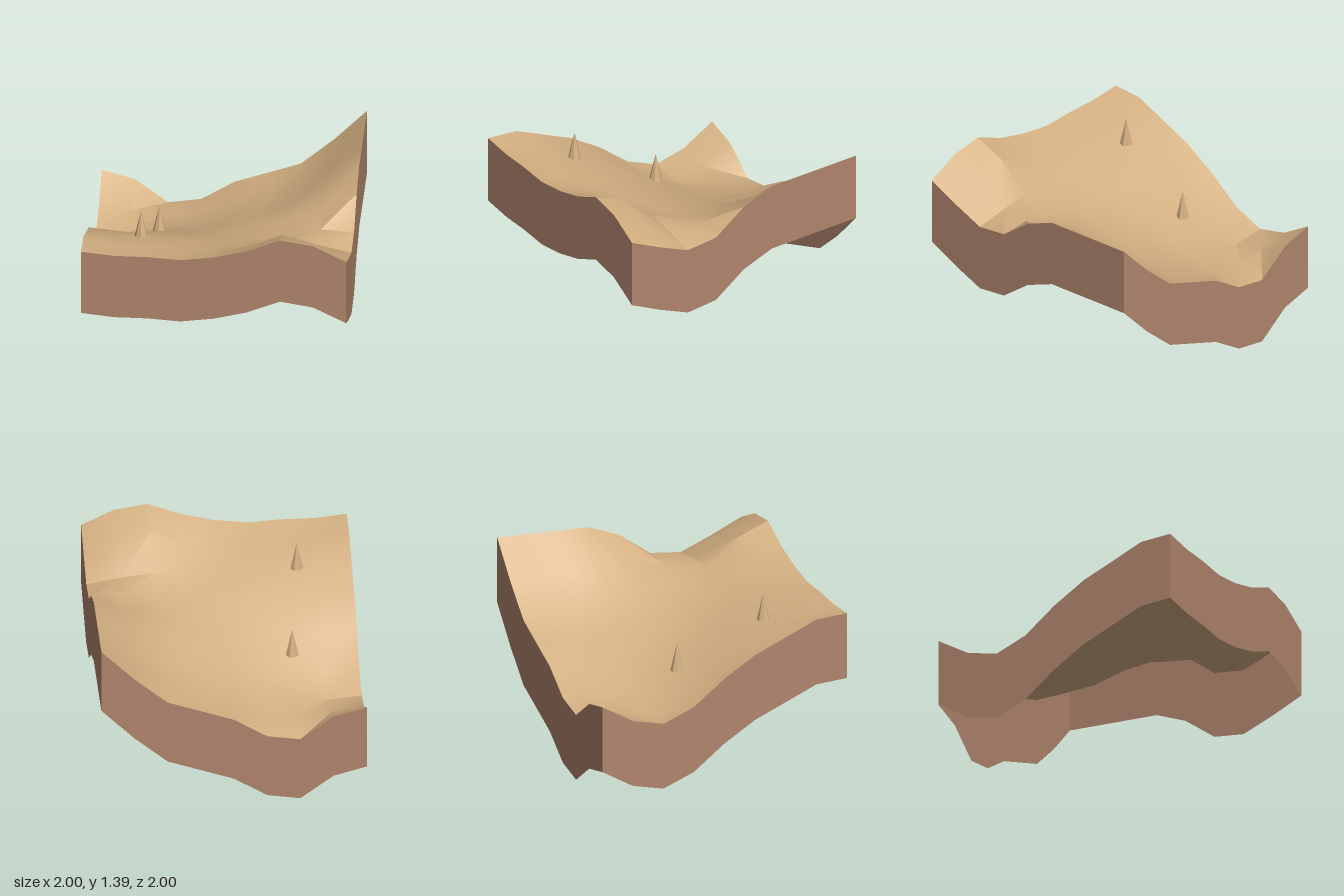
import * as THREE from 'three';
import { toCreasedNormals } from 'three/addons/utils/BufferGeometryUtils.js';

const N = 8;          // cells per side
const STEP = 2 / N;
const DEPTH = 0.53;   // height of the cut earth wall

// Ground heights: rows run from the back (z = -1) to the front, columns from x = -1 to 1
const HEIGHTS = [
  [0.79, 0.72, 0.53, 0.57, 0.73, 0.82, 0.91, 1.13, 1.39],
  [0.635, 0.595, 0.585, 0.6, 0.7, 0.8, 0.91, 1.12, 1.375],
  [0.57, 0.545, 0.6, 0.645, 0.74, 0.82, 0.92, 1.12, 1.36],
  [0.665, 0.64, 0.7, 0.715, 0.8, 0.88, 0.98, 1.15, 1.345],
  [0.855, 0.83, 0.85, 0.84, 0.87, 0.93, 1.0, 1.1, 1.24],
  [1.005, 0.97, 0.97, 0.95, 0.95, 0.97, 1.0, 1.065, 1.05],
  [1.107, 1.09, 1.09, 1.07, 1.05, 1.05, 1.09, 1.06, 1.015],
  [1.21, 1.15, 1.14, 1.12, 1.13, 1.18, 1.29, 1.22, 1.11],
  [1.22, 1.195, 1.195, 1.18, 1.215, 1.28, 1.385, 1.345, 1.22],
];

const sand = new THREE.MeshStandardMaterial({ color: 0xd4b082, side: THREE.DoubleSide });
sand.name = 'sand';
const earth = new THREE.MeshStandardMaterial({ color: 0xb0856d, side: THREE.DoubleSide });
earth.name = 'earth';

function addMesh(parent, name, geometry, material) {
  const mesh = new THREE.Mesh(geometry, material);
  mesh.name = name;
  parent.add(mesh);
  return mesh;
}

// Rolling ground: a plane grid lifted to the height table
function groundGeometry() {
  const geometry = new THREE.PlaneGeometry(2, 2, N, N).rotateX(-Math.PI / 2);
  const pos = geometry.attributes.position;
  for (let i = 0; i < pos.count; i++) {
    pos.setY(i, HEIGHTS[Math.floor(i / (N + 1))][i % (N + 1)]);
  }
  return toCreasedNormals(geometry, Math.PI / 6);
}

// One cut side: a strip hanging below the ground's edge; cell(i) gives [column, row]
function wallGeometry(cell) {
  const points = [];
  for (let i = 0; i < N; i++) {
    const [a, b] = [cell(i), cell(i + 1)].map(([col, row]) => {
      const x = -1 + col * STEP, y = HEIGHTS[row][col], z = -1 + row * STEP;
      return { top: [x, y, z], low: [x, y - DEPTH, z] };
    });
    points.push(...a.top, ...a.low, ...b.low, ...a.top, ...b.low, ...b.top);
  }
  const geometry = new THREE.BufferGeometry();
  geometry.setAttribute('position', new THREE.Float32BufferAttribute(points, 3));
  geometry.computeVertexNormals();
  return geometry;
}

export function createModel() {
  const model = new THREE.Group();
  model.name = 'terrainTile';

  addMesh(model, 'ground', groundGeometry(), sand);

  // Open-bottomed earth walls, walked around the edge so they face outward
  const walls = {
    frontWall: (i) => [i, N],
    leftWall: (i) => [N, N - i],
    backWall: (i) => [N - i, 0],
    rightWall: (i) => [0, i],
  };
  for (const [name, cell] of Object.entries(walls)) {
    addMesh(model, name, wallGeometry(cell), earth);
  }

  // Faceted spikes standing on the ground
  const spike = new THREE.ConeGeometry(0.05, 0.22, 7).toNonIndexed();
  spike.computeVertexNormals();
  spike.translate(0, 0.11, 0);
  const spots = [[-0.5, 0.755, -0.175], [-0.585, 1.09, 0.495]];
  spots.forEach(([x, y, z], i) => {
    addMesh(model, `spike${i + 1}`, spike, sand).position.set(x, y, z);
  });

  return model;
}
